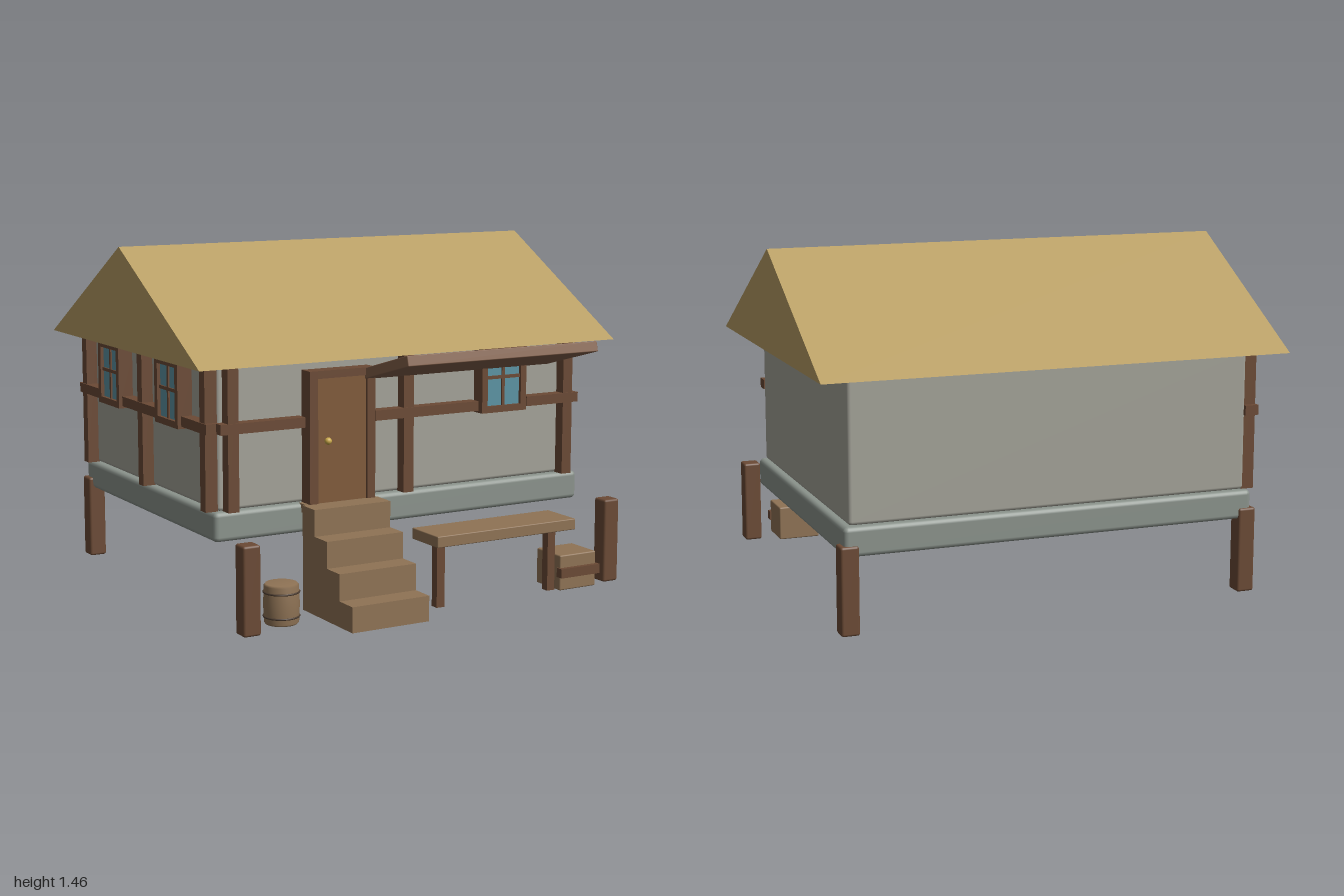
import * as THREE from 'three';
import { RoundedBoxGeometry } from 'three/addons/geometries/RoundedBoxGeometry.js';

const mat = (color) => new THREE.MeshStandardMaterial({ color });
const M = {
  roof: mat(0xb89e64), wall: mat(0xa3a298), stone: mat(0x8b938c), timber: mat(0x6b4a35),
  plank: mat(0x8f7355), awning: mat(0x83604a), door: mat(0x805a3a), glass: mat(0x5c93a3),
  brass: mat(0xc9a84a), iron: mat(0x4a3a2e),
};

// Box given by its extents on each axis; r rounds the edges
function box(parent, name, material, [x0, x1], [y0, y1], [z0, z1], r = 0) {
  const s = [x1 - x0, y1 - y0, z1 - z0];
  const geo = r ? new RoundedBoxGeometry(...s, 2, r) : new THREE.BoxGeometry(...s);
  const mesh = new THREE.Mesh(geo, material);
  mesh.name = name;
  mesh.position.set((x0 + x1) / 2, (y0 + y1) / 2, (z0 + z1) / 2);
  parent.add(mesh);
  return mesh;
}

// Four-pane window facing +z, centred on its own origin
function makeWindow() {
  const g = new THREE.Group();
  g.name = 'window';
  const w = 0.113, h = 0.138, t = 0.028;
  box(g, 'windowPane', M.glass, [-w + t, w - t], [-h + t, h - t], [-0.05, 0.015]);
  for (const s of [-1, 1]) {
    const a = s * (w - t / 2), b = s * (h - t / 2);
    box(g, 'windowJamb', M.timber, [a - t / 2, a + t / 2], [-h, h], [-0.05, 0.03]);
    box(g, 'windowRail', M.timber, [-w + t, w - t], [b - t / 2, b + t / 2], [-0.05, 0.03]);
  }
  box(g, 'verticalGlazingBar', M.timber, [-0.007, 0.007], [-h + t, h - t], [0, 0.022]);
  box(g, 'horizontalGlazingBar', M.timber, [-w + t, w - t], [0.005, 0.019], [0, 0.022]);
  return g;
}

export function createModel() {
  const root = new THREE.Group();
  root.name = 'cottage';

  // Body of the house
  box(root, 'foundation', M.stone, [-0.89, 0.886], [0.315, 0.437], [-0.832, 0.5], 0.02);
  box(root, 'walls', M.wall, [-0.865, 0.86], [0.437, 1.03], [-0.807, 0.475], 0.015);

  // Gable roof with the ridge along x
  const gable = new THREE.Shape([[-0.6, 1.027], [0.93, 1.027], [0.165, 1.455]].map((p) => new THREE.Vector2(...p)));
  const roof = new THREE.Mesh(new THREE.ExtrudeGeometry(gable, { depth: 1.996, bevelEnabled: false }), M.roof);
  roof.name = 'roof';
  roof.rotation.y = Math.PI / 2;
  roof.position.x = -0.998;
  root.add(roof);

  // Corner posts
  for (const x of [-0.87, 0.865])
    for (const z of [-0.802, 0.748])
      box(root, 'cornerPost', M.timber, [x - 0.038, x + 0.038], [0, 0.362], [z - 0.038, z + 0.038], 0.01);

  // Timber framing on the front
  for (const x of [-0.817, -0.003, 0.81])
    box(root, 'frontUpright', M.timber, [x - 0.024, x + 0.024], [0.437, 1.03], [0.47, 0.525]);
  for (const xs of [[-0.875, -0.495], [-0.165, 0.34], [0.59, 0.862]])
    box(root, 'frontBeam', M.timber, xs, [0.754, 0.796], [0.47, 0.53]);

  // Timber framing on the right-hand wall
  for (const z of [-0.775, -0.165, 0.445])
    box(root, 'sideUpright', M.timber, [-0.915, -0.86], [0.437, 1.03], [z - 0.024, z + 0.024]);
  for (const zs of [[-0.82, -0.59], [-0.34, 0.01], [0.26, 0.49]])
    box(root, 'sideBeam', M.timber, [-0.92, -0.86], [0.754, 0.796], zs);

  // Windows: one in front, two at the side
  const front = makeWindow();
  front.position.set(0.466, 0.88, 0.51);
  root.add(front);
  for (const z of [-0.465, 0.135]) {
    const side = makeWindow();
    side.rotation.y = -Math.PI / 2;
    side.position.set(-0.9, 0.88, z);
    root.add(side);
  }

  // Door with frame, knob and sill
  const door = new THREE.Group();
  door.name = 'door';
  root.add(door);
  box(door, 'doorPanel', M.door, [-0.445, -0.215], [0.437, 0.95], [0.47, 0.535]);
  for (const xs of [[-0.483, -0.445], [-0.215, -0.177]])
    box(door, 'doorJamb', M.timber, xs, [0.437, 0.982], [0.47, 0.545]);
  box(door, 'doorLintel', M.timber, [-0.445, -0.215], [0.95, 0.982], [0.47, 0.545]);
  box(door, 'doorSill', M.plank, [-0.5, -0.165], [0.4, 0.437], [0.47, 0.53]);
  const knob = new THREE.Mesh(new THREE.SphereGeometry(0.015, 16, 12), M.brass);
  knob.name = 'doorKnob';
  knob.position.set(-0.405, 0.695, 0.556);
  door.add(knob);

  // Awning tilted up away from the wall
  const awning = box(root, 'awning', M.awning, [-0.222, 0.706], [0.976, 1.02], [0.505, 0.875], 0.004);
  awning.rotation.x = -0.262;

  // Steps, each block standing on the ground
  for (let i = 0; i < 4; i++)
    box(root, 'step', M.plank, [-0.51, -0.156], [0, 0.435 - i * 0.11], [0.53 + i * 0.101, 0.631 + i * 0.101]);

  // Barrel
  const barrel = new THREE.Group();
  barrel.name = 'barrel';
  barrel.position.set(-0.706, 0, 0.713);
  const profile = [[0, 0.017], [0.064, 0.017], [0.07, 0.024], [0.073, 0.098], [0.07, 0.172], [0.064, 0.18], [0, 0.18]];
  const cask = new THREE.Mesh(new THREE.LatheGeometry(profile.map((p) => new THREE.Vector2(...p)), 32), M.plank);
  cask.name = 'barrelBody';
  barrel.add(cask);
  for (const y of [0.048, 0.146]) {
    const hoop = new THREE.Mesh(new THREE.TorusGeometry(0.071, 0.004, 8, 32), M.iron);
    hoop.name = 'barrelHoop';
    hoop.rotation.x = Math.PI / 2;
    hoop.position.y = y;
    barrel.add(hoop);
  }
  root.add(barrel);

  // Bench
  const bench = new THREE.Group();
  bench.name = 'bench';
  root.add(bench);
  box(bench, 'benchSeat', M.plank, [-0.07, 0.616], [0.273, 0.32], [0.664, 0.86], 0.004);
  for (const x of [-0.003, 0.552])
    box(bench, 'benchLeg', M.timber, [x - 0.019, x + 0.019], [0, 0.275], [0.742, 0.78]);

  // Crate with a slat across its front
  const crate = new THREE.Group();
  crate.name = 'crate';
  root.add(crate);
  box(crate, 'crateBody', M.plank, [0.57, 0.756], [0.004, 0.156], [0.65, 0.82], 0.006);
  box(crate, 'crateSlat', M.timber, [0.564, 0.763], [0.062, 0.102], [0.805, 0.84]);

  return root;
}
